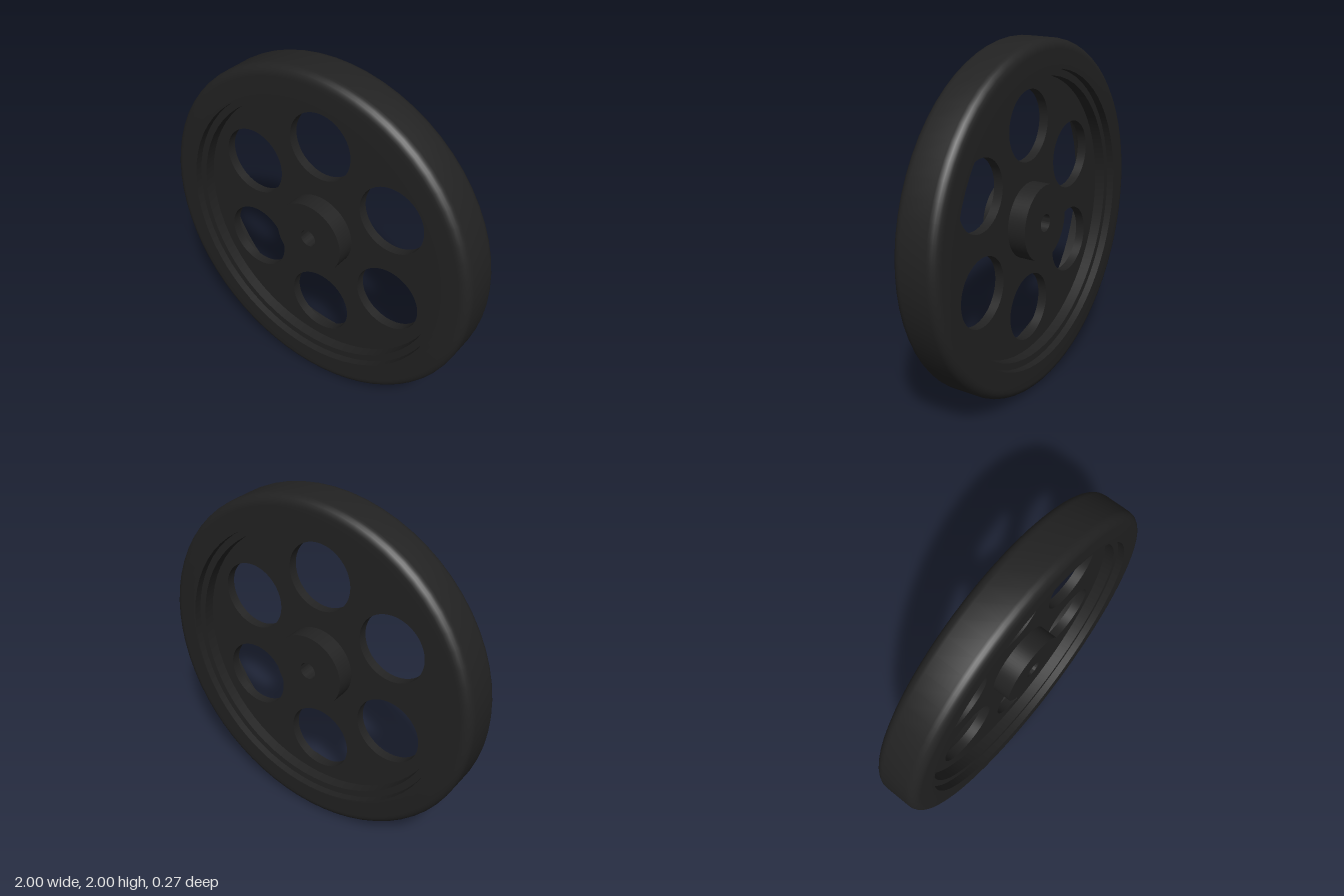
import * as THREE from 'three';
import { toCreasedNormals } from 'three/addons/utils/BufferGeometryUtils.js';

const SEGMENTS = 64;
const HALF_WIDTH = 0.133;
const WEB_DEPTH = 0.054;
const material = new THREE.MeshStandardMaterial({ color: 0x222222 });

function addPart(group, name, geometry) {
  const mesh = new THREE.Mesh(toCreasedNormals(geometry, 0.6), material);
  mesh.name = name;
  group.add(mesh);
}

// Closed ring turned about the z axis, its outer edges rounded by fillet
function ring(inner, outer, half, fillet = 0) {
  const points = [new THREE.Vector2(inner, -half)];
  if (fillet > 0) {
    const steps = 6;
    for (const side of [-1, 1]) {
      for (let i = 0; i <= steps; i++) {
        const t = (i / steps) * Math.PI / 2;
        const a = side < 0 ? t - Math.PI / 2 : t;
        points.push(new THREE.Vector2(
          outer - fillet + fillet * Math.cos(a),
          side * (half - fillet) + fillet * Math.sin(a)
        ));
      }
    }
  } else {
    points.push(new THREE.Vector2(outer, -half), new THREE.Vector2(outer, half));
  }
  points.push(new THREE.Vector2(inner, half), new THREE.Vector2(inner, -half));
  return new THREE.LatheGeometry(points, SEGMENTS).rotateX(Math.PI / 2);
}

// Thin disc pierced by six round holes, open in the middle for the hub
function webDisc() {
  const shape = new THREE.Shape().absarc(0, 0, 0.82, 0, Math.PI * 2, false);
  const cut = (x, y, r) =>
    shape.holes.push(new THREE.Path().absarc(x, y, r, 0, Math.PI * 2, true));
  cut(0, 0, 0.15);
  for (let i = 0; i < 6; i++) {
    const a = Math.PI / 2 + i * Math.PI / 3;
    cut(0.533 * Math.cos(a), 0.533 * Math.sin(a), 0.198);
  }
  return new THREE.ExtrudeGeometry(shape, {
    depth: WEB_DEPTH, bevelEnabled: false, curveSegments: 48
  }).translate(0, 0, -WEB_DEPTH / 2);
}

export function createModel() {
  const wheel = new THREE.Group();
  wheel.name = 'wheel';
  addPart(wheel, 'tire', ring(0.84, 1, HALF_WIDTH, 0.055));
  addPart(wheel, 'rim', ring(0.8, 0.845, 0.09));
  addPart(wheel, 'web', webDisc());
  addPart(wheel, 'hub', ring(0.05, 0.217, HALF_WIDTH));
  wheel.position.y = 1;

  const model = new THREE.Group();
  model.name = 'spokedWheel';
  model.add(wheel);
  return model;
}
